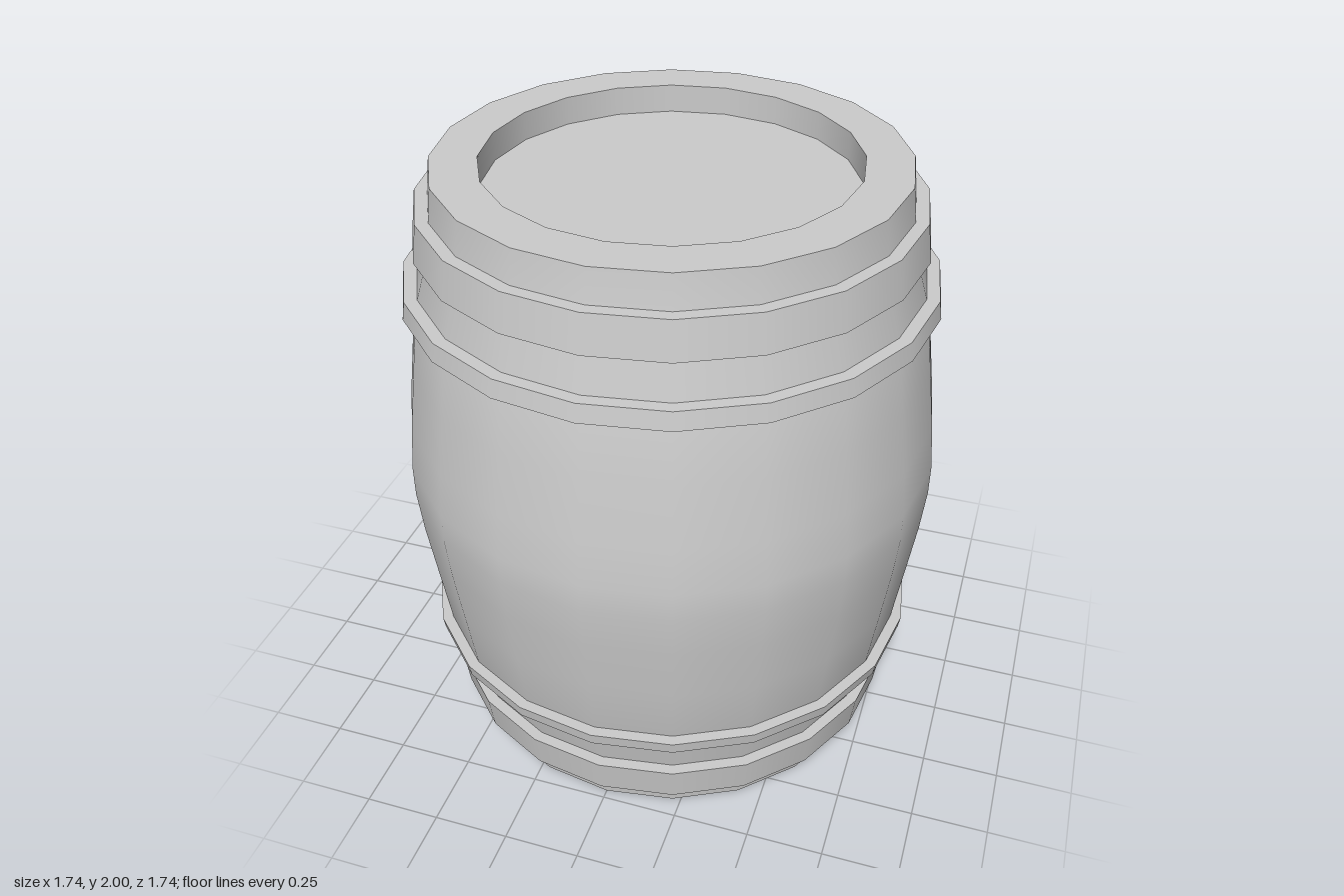
import * as THREE from 'three';
import { mergeGeometries } from 'three/addons/utils/BufferGeometryUtils.js';

const SIDES = 20;
const material = new THREE.MeshStandardMaterial({ color: 0xcccccc });

// Lathe each smooth run of [radius, y] points apart, so edges between runs stay sharp.
function turned(name, runs) {
  const parts = runs.map((run) =>
    new THREE.LatheGeometry(run.map(([r, y]) => new THREE.Vector2(r, y)), SIDES));
  const mesh = new THREE.Mesh(mergeGeometries(parts), material);
  mesh.name = name;
  return mesh;
}

// Closed ring from y0 to y1, with its inner wall sunk into the staves.
function hoop(name, y0, r0, y1, r1, inner) {
  const a = [inner, y0], b = [r0, y0], c = [r1, y1], d = [inner, y1];
  return turned(name, [[a, b], [b, c], [c, d], [d, a]]);
}

export function createModel() {
  const barrel = new THREE.Group();
  barrel.name = 'barrel';

  // Bulging staves, mirrored about mid height
  const lower = [[0.72, 0], [0.745, 0.2], [0.798, 0.37], [0.83, 0.6], [0.857, 0.8], [0.871, 0.95]];
  const upper = lower.map(([r, y]) => [r, 2 - y]).reverse();
  barrel.add(turned('staves', [[...lower, ...upper]]));

  // Rims and recessed heads at both ends
  const hole = 0.575, depth = 0.09, rim = 0.72;
  barrel.add(turned('topHead', [
    [[rim, 2], [hole, 2]],
    [[hole, 2], [hole, 2 - depth]],
    [[hole, 2 - depth], [0, 2 - depth]],
  ]));
  barrel.add(turned('bottomHead', [
    [[0, depth], [hole, depth]],
    [[hole, depth], [hole, 0]],
    [[hole, 0], [rim, 0]],
  ]));

  // Metal hoops
  barrel.add(hoop('topEndHoop', 1.775, 0.79, 1.895, 0.773, 0.7));
  barrel.add(hoop('topQuarterHoop', 1.595, 0.84, 1.653, 0.831, 0.76));
  barrel.add(hoop('bottomQuarterHoop', 0.353, 0.831, 0.396, 0.838, 0.76));
  barrel.add(hoop('bottomEndHoop', 0.073, 0.765, 0.195, 0.782, 0.7));

  return barrel;
}
